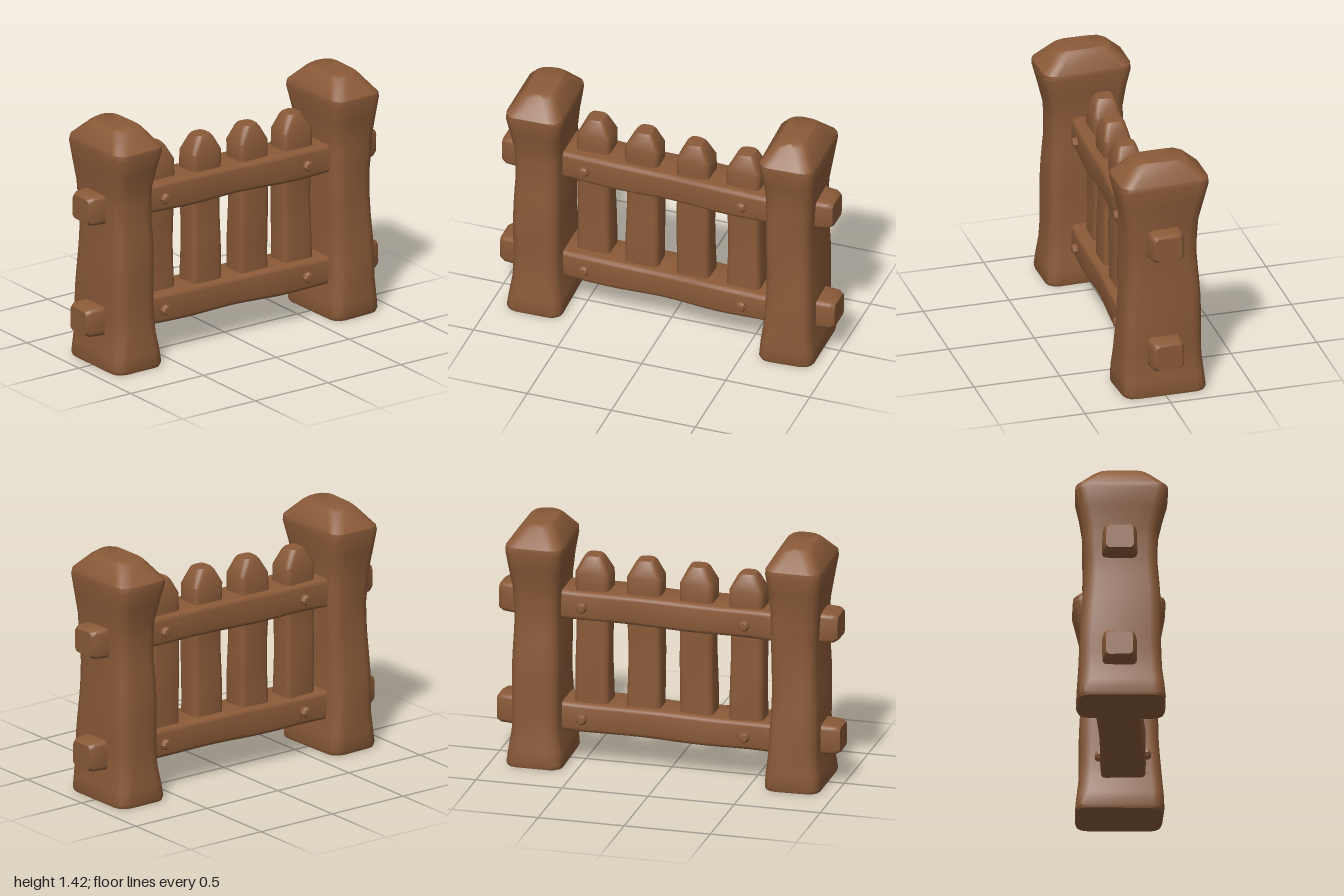
import * as THREE from 'three';
import { toCreasedNormals } from 'three/addons/utils/BufferGeometryUtils.js';

const wood = new THREE.MeshStandardMaterial({ color: 0x8a5a38 });
wood.name = 'brown wood';

// Unit outline of a rounded rectangle with half sizes hx, hz and corner radius r
function outline(hx, hz, r) {
  const pts = [];
  const rr = Math.min(r, hx * 0.9, hz * 0.9);
  [[1, 1], [-1, 1], [-1, -1], [1, -1]].forEach(([sx, sz], q) => {
    for (let k = 0; k <= 3; k++) {
      const a = (q + k / 3) * Math.PI / 2;
      pts.push([sx * (hx - rr) + rr * Math.cos(a), sz * (hz - rr) + rr * Math.sin(a)]);
    }
  });
  return pts;
}

// Carved timber along y. Sections are [y, halfX, halfZ, offsetX]; seed varies the hewn surface
function timber(sections, r, seed, rough = 0.004, crease = 0.6) {
  const rings = [];
  sections.forEach((s, i) => {
    const next = sections[i + 1];
    const steps = next ? Math.max(1, Math.round((next[0] - s[0]) / 0.08)) : 1;
    for (let k = 0; k < steps; k++) {
      rings.push(next ? s.map((v, j) => v + (next[j] - v) * k / steps) : s);
    }
  });
  const pos = [], idx = [], n = 16;
  rings.forEach(([y, hx, hz, ox]) => {
    outline(hx, hz, r).forEach(([x, z], j) => {
      const w = Math.sin(y * 9 + seed * 2.3 + Math.floor(j / 4) * 1.9) * rough;
      pos.push(ox + x + Math.sign(x) * w, y, z + Math.sign(z) * w * 0.8);
    });
  });
  for (let i = 0; i < rings.length - 1; i++) {
    for (let j = 0; j < n; j++) {
      const a = i * n + j, b = i * n + (j + 1) % n;
      idx.push(a, a + n, b, b, a + n, b + n);
    }
  }
  // End caps
  const last = (rings.length - 1) * n;
  const bottom = pos.length / 3;
  pos.push(rings[0][3], rings[0][0], 0);
  const end = rings[rings.length - 1];
  pos.push(end[3], end[0], 0);
  for (let j = 0; j < n; j++) {
    const k = (j + 1) % n;
    idx.push(bottom, j, k, bottom + 1, last + k, last + j);
  }
  const g = new THREE.BufferGeometry();
  g.setAttribute('position', new THREE.Float32BufferAttribute(pos, 3));
  g.setIndex(idx);
  return toCreasedNormals(g, crease);
}

export function createModel() {
  const model = new THREE.Group();
  model.name = 'fence';
  const add = (name, geometry, x = 0, y = 0, z = 0) => {
    const mesh = new THREE.Mesh(geometry, wood);
    mesh.name = name;
    mesh.position.set(x, y, z);
    model.add(mesh);
    return mesh;
  };

  // Waisted end posts with flared, bevelled heads
  const post = [
    [0, 0.24, 0.157, 0], [0.02, 0.247, 0.163, 0], [0.1, 0.243, 0.155, 0],
    [0.2, 0.235, 0.142, 0], [0.5, 0.222, 0.135, 0], [0.85, 0.208, 0.132, 0],
    [1.05, 0.213, 0.138, 0], [1.17, 0.235, 0.15, 0], [1.28, 0.259, 0.163, 0],
    [1.31, 0.256, 0.16, 0], [1.405, 0.165, 0.095, 0], [1.42, 0.145, 0.08, 0]
  ];
  for (const s of [1, -1]) {
    add(s > 0 ? 'frontPost' : 'backPost', timber(post, 0.065, s > 0 ? 1 : 4, 0.005), 0, 0, s * 0.75)
      .rotation.y = s > 0 ? 0.02 : Math.PI + 0.02;
  }

  // Two skewed rails with tenons emerging beyond the posts
  [0.277, 0.942].forEach((y, i) => {
    const label = i ? 'upper' : 'lower';
    const rail = timber([
      [-0.64, 0.125, 0.083, 0.025], [-0.3, 0.127, 0.085, 0.014], [0, 0.122, 0.084, 0],
      [0.3, 0.127, 0.085, -0.012], [0.64, 0.127, 0.085, -0.025]
    ], 0.025, 2 + i * 3, 0.003);
    add(label + 'Rail', rail.rotateX(Math.PI / 2), 0, y, 0);

    for (const s of [1, -1]) {
      const tip = i ? 0.985 : 0.998;
      const tenon = timber([
        [0.8, 0.105, 0.09, 0], [0.9, 0.097, 0.086, 0], [tip - 0.025, 0.09, 0.083, 0], [tip, 0.077, 0.07, 0]
      ], 0.025, i + s, 0.002);
      tenon.rotateX(Math.PI / 2);
      if (s < 0) tenon.rotateY(Math.PI);
      add(label + (s > 0 ? 'FrontTenon' : 'BackTenon'), tenon, s * -0.006, y + 0.003, 0);
    }

    // Domed pegs on both faces of each rail
    const peg = new THREE.LatheGeometry([[0.032, -0.04], [0.032, 0.018], [0.022, 0.033], [0, 0.036]]
      .map(([r, h]) => new THREE.Vector2(r, h)), 8);
    for (const [side, z] of [[1, 0.485], [1, -0.465], [-1, 0.46], [-1, -0.495]]) {
      const face = side * 0.123 - z * 0.04;
      add('peg', toCreasedNormals(peg, 0.5), face, y - 0.005, z).rotation.z = -side * Math.PI / 2;
    }
  });

  // Pickets with bevelled tops, set through the rails
  [[0.46, -0.04], [0.16, -0.01], [-0.15, 0.012], [-0.45, 0.01]].forEach(([z, x], i) => {
    add('picket', timber([
      [0.24, 0.08, 0.1, 0], [0.45, 0.08, 0.098, 0], [0.75, 0.077, 0.096, 0], [1.05, 0.081, 0.099, 0],
      [1.125, 0.081, 0.099, 0], [1.205, 0.06, 0.058, 0], [1.222, 0.05, 0.046, 0]
    ], 0.03, i * 1.7, 0.003), x, 0, z);
  });

  return model;
}
